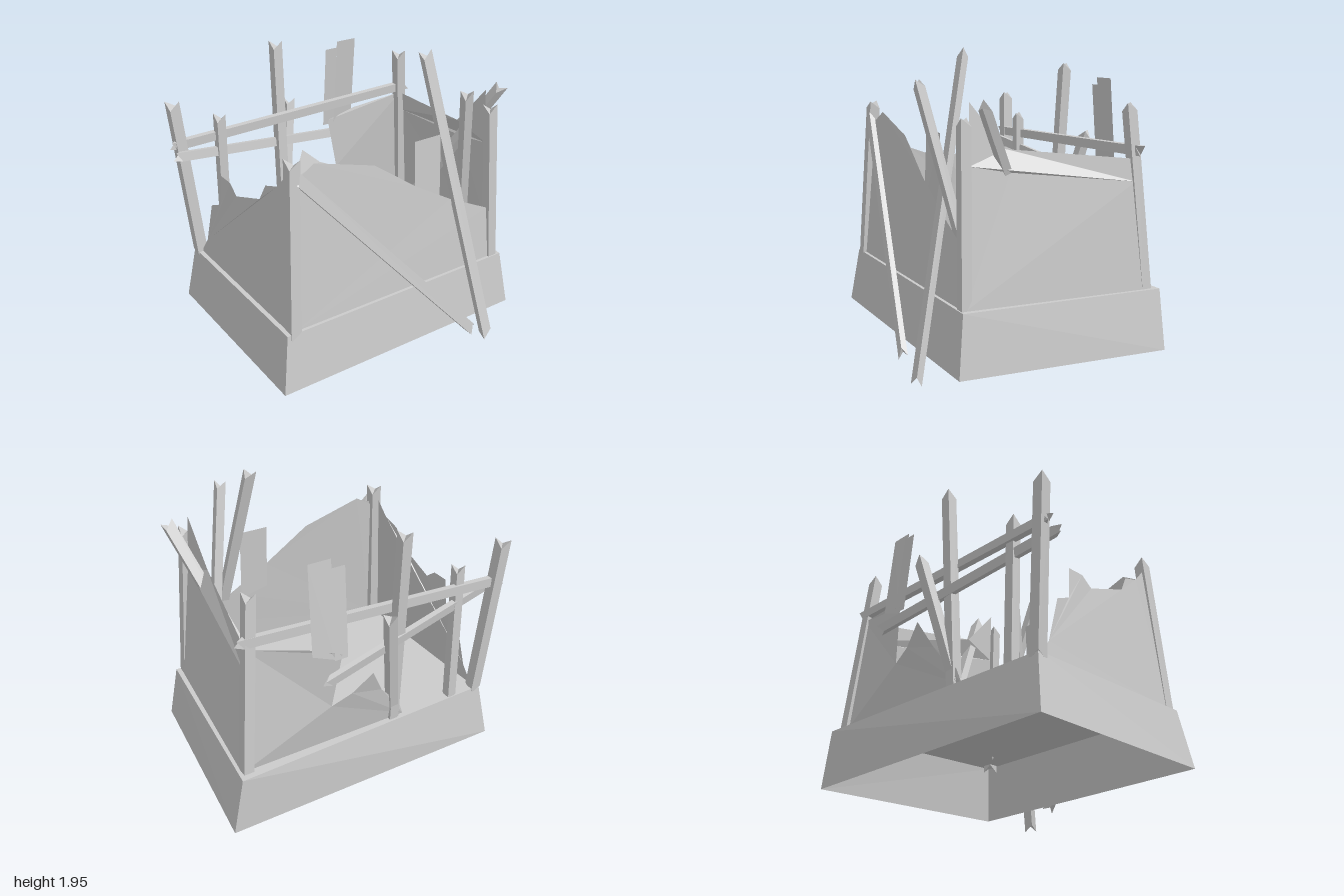
import * as THREE from 'three';

const material = new THREE.MeshStandardMaterial({ color: 0xcccccc, flatShading: true, side: THREE.DoubleSide });

// Flat or slightly folded panel: a 3D outline, triangulated as seen along one axis
function panel(name, points, axis) {
  const v3 = points.map((p) => new THREE.Vector3(...p));
  const flat = v3.map((p) => {
    if (axis === 'x') return new THREE.Vector2(-p.z, p.y);
    if (axis === 'y') return new THREE.Vector2(p.x, -p.z);
    return new THREE.Vector2(p.x, p.y);
  });
  const geometry = new THREE.BufferGeometry().setFromPoints(v3);
  geometry.setIndex(THREE.ShapeUtils.triangulateShape(flat, []).flat());
  const faceted = geometry.toNonIndexed();
  faceted.computeVertexNormals();
  const mesh = new THREE.Mesh(faceted, material);
  mesh.name = name;
  return mesh;
}

// Square timber from a to b with splintered ends
function timber(name, a, b, width = 0.07, depth = width, splinter = 0.025) {
  const from = new THREE.Vector3(...a);
  const to = new THREE.Vector3(...b);
  const length = from.distanceTo(to);
  const geometry = new THREE.BoxGeometry(width, length, depth);
  const pos = geometry.attributes.position;
  for (let i = 0; i < pos.count; i++) {
    const twist = Math.sign(pos.getX(i) * pos.getZ(i));
    pos.setY(i, pos.getY(i) + twist * splinter);
  }
  geometry.computeVertexNormals();
  const mesh = new THREE.Mesh(geometry, material);
  mesh.name = name;
  mesh.position.copy(from).add(to).multiplyScalar(0.5);
  mesh.quaternion.setFromUnitVectors(new THREE.Vector3(0, 1, 0), to.sub(from).normalize());
  return mesh;
}

function createPlinth() {
  const plinth = new THREE.Group();
  plinth.name = 'plinth';
  // Corners in order: front left, front right, back right, back left as seen from the front
  const low = [[-0.94, 0.11, 0.64], [0.85, 0.11, 0.64], [1, 0.11, -0.7], [-0.94, 0.11, -0.7]];
  const high = [[-0.88, 0.485, 0.59], [0.8, 0.485, 0.59], [0.93, 0.485, -0.7], [-0.88, 0.485, -0.65]];
  const names = ['plinthFront', 'plinthLeft', 'plinthBack', 'plinthRight'];
  names.forEach((name, i) => {
    const j = (i + 1) % 4;
    const axis = i % 2 ? 'x' : 'z';
    // Twisted sides are split along a fixed diagonal
    plinth.add(panel(name, [low[i], low[j], high[i]], axis));
    plinth.add(panel(name, [low[j], high[j], high[i]], axis));
  });
  plinth.add(panel('floor', high, 'y'));
  return plinth;
}

function createWalls() {
  const walls = new THREE.Group();
  walls.name = 'brokenWalls';

  // Front wall, sloping down to one side
  walls.add(
    panel('frontWallUpper', [
      [-0.81, 0.485, 0.57], [0.38, 1.0, 0.53], [0.11, 1.16, 0.52], [-0.2, 1.38, 0.5],
      [-0.61, 1.5, 0.49], [-0.75, 1.42, 0.5],
    ], 'z'),
    panel('frontWallLower', [
      [-0.81, 0.485, 0.57], [0.74, 0.485, 0.57], [0.69, 0.85, 0.545], [0.38, 1.0, 0.53],
    ], 'z'),
    panel('frontBoard', [
      [0.11, 1.0, 0.51], [0.31, 0.95, 0.51], [0.31, 1.45, 0.49], [0.11, 1.45, 0.49],
    ], 'z'),
  );

  // Left wall with a folded upper strip and a tall shard at the front corner
  walls.add(
    panel('leftWallLower', [
      [0.77, 0.485, 0.56], [0.9, 0.485, -0.62], [0.83, 1.15, -0.57], [0.71, 1.25, 0.24], [0.69, 1.3, 0.49],
    ], 'x'),
    panel('leftWallUpper', [
      [0.69, 1.3, 0.49], [0.71, 1.25, 0.24], [0.83, 1.15, -0.57], [0.81, 1.29, -0.55],
      [0.66, 1.38, 0.24], [0.67, 1.66, 0.48],
    ], 'x'),
  );

  // Right wall, stepped down toward the back
  walls.add(
    panel('rightWall', [
      [-0.85, 0.485, 0.56], [-0.85, 0.485, -0.6], [-0.84, 0.6, -0.52], [-0.83, 0.9, -0.43],
      [-0.82, 0.95, -0.32], [-0.81, 1.16, -0.3], [-0.81, 1.16, -0.18], [-0.81, 1.1, -0.1],
      [-0.81, 1.21, 0.2], [-0.8, 1.32, 0.26], [-0.79, 1.36, 0.38], [-0.78, 1.48, 0.49],
    ], 'x'),
  );

  // Back wall remnant, bulging outward at its torn edge
  walls.add(
    panel('backWallInner', [
      [0.88, 0.485, -0.63], [0.31, 0.78, -0.68], [0.26, 1.15, -0.71], [0.46, 1.22, -0.67], [0.82, 1.29, -0.58],
    ], 'z'),
    panel('backWallTorn', [
      [0.88, 0.485, -0.63], [-0.26, 0.485, -0.63], [-0.22, 0.59, -0.64], [-0.05, 0.775, -0.68],
      [0.05, 0.96, -0.73], [0.18, 0.84, -0.7], [0.31, 0.78, -0.68],
    ], 'z'),
    panel('backBoard', [
      [0.3, 1.12, -0.7], [0.45, 1.18, -0.69], [0.45, 1.75, -0.64], [0.3, 1.75, -0.64],
    ], 'z'),
    panel('backBoard', [
      [0.22, 1.12, -0.71], [0.31, 1.12, -0.71], [0.31, 1.7, -0.66], [0.22, 1.7, -0.66],
    ], 'z'),
  );
  return walls;
}

function createTimbers() {
  const timbers = new THREE.Group();
  timbers.name = 'timbers';
  timbers.add(
    // Upright posts
    timber('frontRightPost', [-0.82, 0.46, 0.56], [-0.76, 1.54, 0.5]),
    timber('frontLeftPost', [0.74, 0.46, 0.55], [0.68, 1.55, 0.52], 0.065),
    timber('backLeftPost', [0.87, 0.44, -0.63], [0.77, 1.6, -0.55], 0.065),
    timber('backRightPost', [-0.85, 0.47, -0.62], [-0.94, 1.55, -0.66]),
    timber('backPost', [-0.65, 0.47, -0.62], [-0.65, 1.42, -0.6], 0.06),
    timber('backPost', [-0.18, 0.47, -0.62], [-0.16, 1.8, -0.69], 0.065),
    // Rails along the back
    timber('upperRail', [-0.96, 1.28, -0.64], [0.85, 1.34, -0.58], 0.06, 0.04),
    timber('lowerRail', [-0.97, 1.23, -0.57], [0.38, 1.02, -0.75], 0.06, 0.035),
    // Fallen and leaning beams
    timber('backBrace', [-0.19, 0.5, -0.61], [-0.02, 1.34, -0.78], 0.06),
    timber('diagonalBeam', [0.39, 0.15, 0.79], [-0.74, 1.45, 0.53], 0.065, 0.035),
    timber('tallLeaningBeam', [0.55, 0.03, 0.77], [0.3, 1.92, 0.33], 0.07, 0.04),
    timber('crossingBeam', [0.6, 0.5, 0.4], [0.36, 1.75, 0.65], 0.06, 0.05),
    timber('innerLeaningBeam', [0.42, 0.5, -0.16], [0.81, 1.64, 0.46], 0.07, 0.05),
  );
  return timbers;
}

export function createModel() {
  const model = new THREE.Group();
  model.name = 'ruinedHouse';
  model.add(createPlinth(), createWalls(), createTimbers());
  return model;
}
